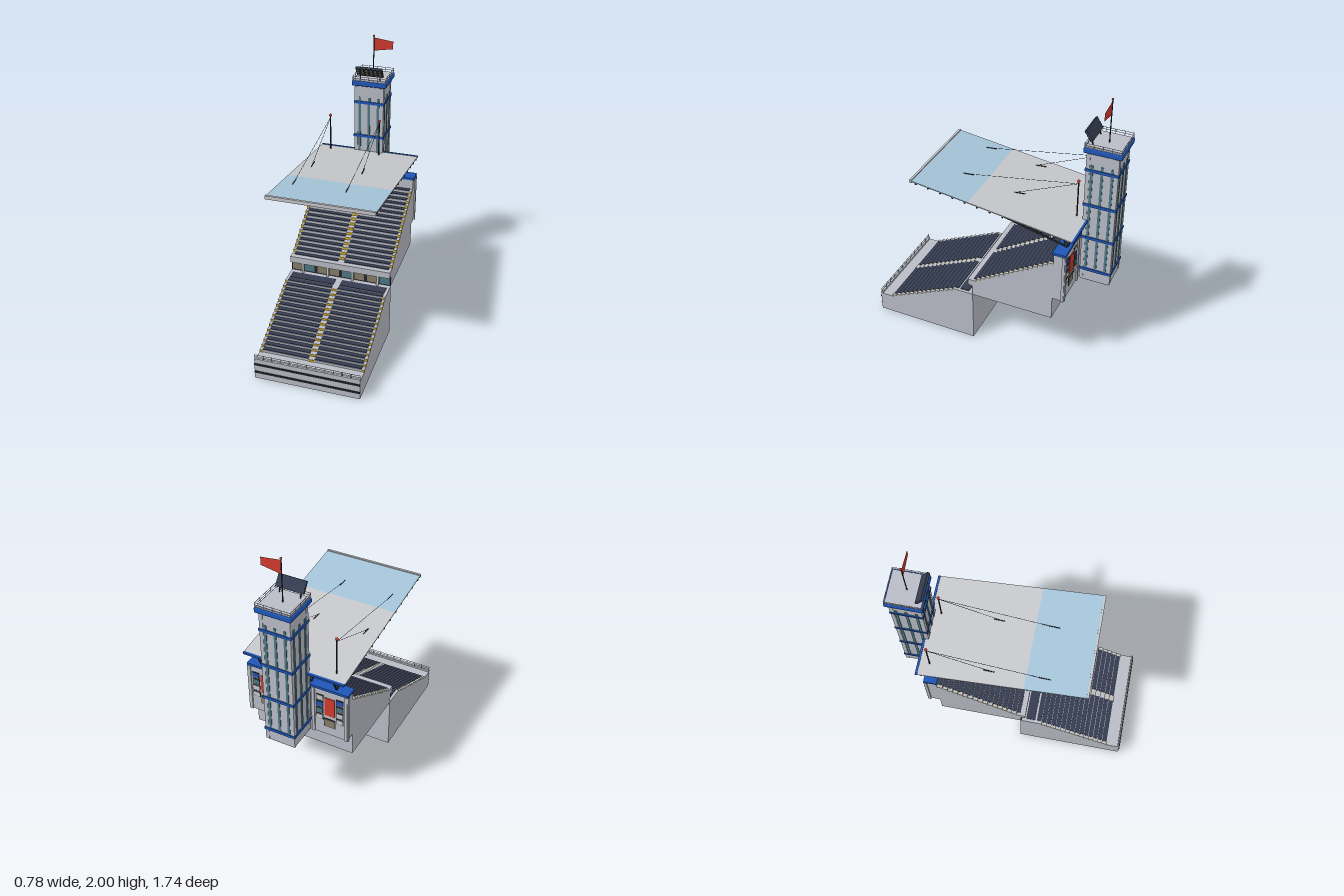
import * as THREE from 'three';
import { RoundedBoxGeometry } from 'three/addons/geometries/RoundedBoxGeometry.js';

const mat = (name, color, extra = {}) => new THREE.MeshStandardMaterial({ name, color, ...extra });

export function createModel() {
  const concrete = mat('concrete', 0xb9bcc6), metal = mat('light metal', 0xc6c7ca);
  const navy = mat('seat navy', 0x353c50), black = mat('dark steel', 0x22252c);
  const blue = mat('blue trim', 0x1f56b8), red = mat('red', 0xd03a2e, { side: THREE.DoubleSide });
  const yellow = mat('aisle yellow', 0xd6ae22), teal = mat('teal glass', 0x4c7884);
  const beige = mat('beige', 0x857c68), glass = mat('roof glass', 0xa4c4d8);
  const root = new THREE.Group();
  const W = 0.38, trussX = [-0.286, -0.095, 0.095, 0.286];

  const group = (name, parent = root) => {
    const g = new THREE.Group();
    g.name = name;
    parent.add(g);
    return g;
  };
  const add = (parent, name, geo, m, x = 0, y = 0, z = 0) => {
    const mesh = new THREE.Mesh(geo, m);
    mesh.name = name;
    mesh.position.set(x, y, z);
    parent.add(mesh);
    return mesh;
  };
  const box = (p, name, m, w, h, d, x, y, z) => add(p, name, new THREE.BoxGeometry(w, h, d), m, x, y, z);
  // Round bar between two points
  const bar = (p, name, m, a, b, r, sides = 6) => {
    const A = new THREE.Vector3(...a), B = new THREE.Vector3(...b);
    const mesh = add(p, name, new THREE.CylinderGeometry(r, r, A.distanceTo(B), sides), m);
    mesh.position.copy(A).add(B).multiplyScalar(0.5);
    mesh.quaternion.setFromUnitVectors(new THREE.Vector3(0, 1, 0), B.sub(A).normalize());
  };
  // Side profile of (z, y) points swept across the full width
  const sweep = (p, name, pts, m) => {
    const geo = new THREE.ExtrudeGeometry(new THREE.Shape(pts.map(q => new THREE.Vector2(...q))),
      { depth: 2 * W, bevelEnabled: false });
    add(p, name, geo.rotateY(-Math.PI / 2).translate(W, 0, 0), m);
  };

  // Stepped stand with seat treads and yellow aisle edges
  const stand = (name, z0, y0, z1, y1, n, rest) => {
    const g = group(name), dz = (z1 - z0) / n, dy = (y1 - y0) / n, pts = [];
    for (let i = 0; i < n; i++) {
      const z = z0 + i * dz, y = y0 + i * dy;
      pts.push([z, y], [z, y + dy]);
      for (const s of [-1, 1])
        box(g, 'seatRow', navy, 0.335, 0.005, -dz * 0.84, s * 0.191, y + dy + 0.0025, z + dz * 0.52).scale.z = -1;
      for (const [x, w] of [[-0.37, 0.02], [0, 0.04], [0.37, 0.02]])
        box(g, 'aisleEdge', yellow, w, dy * 0.9, 0.005, x, y + dy / 2, z + 0.002);
    }
    sweep(g, name + 'Body', [...pts, [z1, y1], ...rest], concrete);
    return g;
  };

  // Lower stand, front wall and railing
  const lower = stand('lowerStand', 0.76, 0.15, 0.2, 0.41, 15,
    [[0.08, 0.41], [0.08, 0], [0.865, 0], [0.865, 0.165], [0.85, 0.165], [0.85, 0.15]]);
  for (const y of [0.055, 0.12]) box(lower, 'wallStripe', black, 2 * W, 0.015, 0.006, 0, y, 0.867);
  for (const s of [-1, 1]) box(lower, 'concourseFloor', navy, 0.335, 0.005, 0.07, s * 0.191, 0.4125, 0.155);
  for (const y of [0.18, 0.195]) bar(lower, 'frontRail', metal, [-W, y, 0.858], [W, y, 0.858], 0.002);
  for (let i = 0; i <= 12; i++) {
    const x = -0.378 + i * 0.063;
    bar(lower, 'railPost', [1, 2, 10, 11].includes(i) ? black : metal, [x, 0.16, 0.858], [x, 0.197, 0.858], 0.0025);
  }

  // Upper stand with parapet and back wall
  const upper = stand('upperStand', 0.08, 0.52, -0.53, 0.89, 17,
    [[-0.53, 0.97], [-0.61, 0.97], [-0.61, 0.59], [-0.53, 0.59], [-0.53, 0.41], [0.08, 0.41]]);
  box(upper, 'parapet', concrete, 2 * W, 0.05, 0.035, 0, 0.517, 0.0975);
  box(upper, 'wallCap', blue, 0.775, 0.018, 0.095, 0, 0.979, -0.57);
  for (const s of [-1, 1]) box(upper, 'sidePilaster', concrete, 0.012, 0.38, 0.02, s * 0.384, 0.78, -0.605);

  // Concourse windows and pillars
  const shops = group('concourseFront');
  box(shops, 'windowBand', black, 2 * W, 0.08, 0.006, 0, 0.452, 0.082);
  [...'BTBBTBBT'].forEach((c, i) =>
    box(shops, 'window', c === 'B' ? beige : teal, 0.073, 0.058, 0.005, -0.334 + i * 0.0955, 0.45, 0.086));
  for (const x of trussX) box(shops, 'pillar', metal, 0.016, 0.083, 0.016, x, 0.451, 0.1);

  // Rear facade panels either side of the tower
  const rear = group('rearFacade');
  for (const s of [-1, 1]) {
    for (const x of [0.125, 0.372]) box(rear, 'pilaster', concrete, 0.022, 0.38, 0.014, s * x, 0.78, -0.613);
    box(rear, 'redPanel', red, 0.075, 0.15, 0.006, s * 0.248, 0.835, -0.612);
    box(rear, 'doorFrame', black, 0.085, 0.07, 0.004, s * 0.248, 0.695, -0.611);
    box(rear, 'door', beige, 0.073, 0.058, 0.006, s * 0.248, 0.695, -0.613);
    [0.173, 0.323].forEach((x, c) => {
      for (let r = 0; r < 4; r++) {
        box(rear, 'panelFrame', black, 0.056, 0.046, 0.004, s * x, 0.9 - r * 0.055, -0.611);
        box(rear, 'smallPanel', [metal, blue, teal, metal][(r + c) % 4], 0.046, 0.036, 0.006, s * x, 0.9 - r * 0.055, -0.613);
      }
    });
  }

  // Sloping roof
  const roof = group('roof'), slope = 0.134, roofY = z => 1.105 + (z + 0.66) * slope;
  const slab = (name, m, z0, z1, t = 0.007) => {
    const zc = (z0 + z1) / 2;
    box(roof, name, m, 2 * W, t, (z1 - z0) * Math.hypot(1, slope), 0, roofY(zc), zc).rotation.x = -Math.atan(slope);
  };
  slab('roofPanel', metal, -0.655, 0.1);
  slab('roofGlass', glass, 0.1, 0.53);
  slab('roofBackEdge', blue, -0.665, -0.65, 0.016);
  box(roof, 'gutter', metal, 2 * W, 0.026, 0.016, 0, 1.262, 0.535);
  for (let i = 0; i < 13; i++) {
    const z = -0.62 + i * 0.093;
    box(roof, 'purlin', black, 2 * W, 0.012, 0.01, 0, roofY(z) - 0.01, z);
  }

  // Cantilever trusses with zigzag webs
  const lowY = z => 0.99 + (z + 0.59) * 0.236;
  for (const x of trussX) {
    const t = group('truss', roof), topY = z => roofY(z) - 0.012;
    bar(t, 'topChord', black, [x, topY(-0.65), -0.65], [x, topY(0.5), 0.5], 0.007);
    bar(t, 'bottomChord', black, [x, lowY(-0.59), -0.59], [x, lowY(0.49), 0.49], 0.007);
    bar(t, 'support', navy, [x, 0.985, -0.58], [x, topY(-0.58), -0.58], 0.01);
    bar(t, 'rearStrut', black, [x, 0.99, -0.59], [x, topY(-0.64), -0.64], 0.005);
    for (let i = 0; i < 20; i++) {
      const za = -0.58 + i * 0.052, zb = za + 0.052, up = i % 2;
      bar(t, 'web', black, [x, up ? topY(za) : lowY(za), za], [x, up ? lowY(zb) : topY(zb), zb], 0.003, 5);
    }
  }

  // Masts with stay cables
  for (const x of [trussX[0], trussX[2]]) {
    const m = group('mast');
    bar(m, 'mastPole', black, [x, 0.985, -0.58], [x, 1.395, -0.58], 0.005, 8);
    add(m, 'mastLight', new THREE.SphereGeometry(0.011, 12, 8), red, x, 1.395, -0.58);
    for (const z of [-0.12, 0.27]) {
      bar(m, 'cable', black, [x, 1.375, -0.58], [x, roofY(z), z], 0.0015, 4);
      bar(m, 'cableAnchor', black, [x, roofY(z) + 0.004, z], [x, roofY(z - 0.08) + 0.012 + 0.01, z - 0.08], 0.003, 5);
    }
  }

  // Tilted lamp board: dark panel with rows of lamps
  const lampBoard = (p, name, w, h, cols, rows, x, y, z, tilt) => {
    const g = group(name, p);
    g.position.set(x, y, z);
    g.rotation.x = tilt;
    box(g, 'lampPanel', navy, w, h, 0.016, 0, 0, 0);
    box(g, 'lampFace', black, w * 0.98, h * 0.96, 0.004, 0, 0, 0.009);
    for (let i = 0; i < cols; i++) for (let j = 0; j < rows; j++) {
      const lamp = new THREE.CylinderGeometry(0.32 * h / rows, 0.32 * h / rows, 0.006, 10).rotateX(Math.PI / 2);
      add(g, 'lamp', lamp, beige, ((i + 0.5) / cols - 0.5) * w, ((j + 0.5) / rows - 0.5) * h, 0.013);
    }
  };
  for (const x of [-0.255, 0, 0.255]) {
    lampBoard(roof, 'roofFloodlight', 0.11, 0.046, 5, 2, x, 1.207, 0.43, 0.75);
    bar(roof, 'floodlightArm', black, [x, 1.21, 0.43], [x, roofY(0.44), 0.44], 0.004);
  }

  // Tower shaft, corner posts, glass strips and bands
  const tower = group('tower'), tz = -0.738;
  add(tower, 'shaft', new RoundedBoxGeometry(0.216, 1.045, 0.216, 2, 0.012), concrete, 0, 1.1205, tz);
  for (const sx of [-1, 1]) for (const sz of [-1, 1])
    box(tower, 'cornerPost', concrete, 0.026, 1.02, 0.026, sx * 0.098, 1.12, tz + sz * 0.098);
  for (let f = 0; f < 4; f++) {
    const side = group('towerSide', tower);
    side.position.z = tz;
    side.rotation.y = f * Math.PI / 2;
    for (const x of [-0.07, 0, 0.07]) box(side, 'glassStrip', teal, 0.018, 0.83, 0.008, x, 1.135, 0.108);
  }
  for (const y of [0.7, 0.97, 1.237, 1.508]) box(tower, 'band', blue, 0.232, 0.02, 0.232, 0, y, tz);
  add(tower, 'crown', new RoundedBoxGeometry(0.262, 0.038, 0.262, 2, 0.008), blue, 0, 1.66, -0.74);
  box(tower, 'deck', concrete, 0.242, 0.008, 0.242, 0, 1.678, -0.74);

  // Deck railing
  const rail = group('deckRailing', tower), R = 0.124;
  rail.position.set(0, 1.68, -0.74);
  for (let f = 0; f < 4; f++) {
    const side = group('railSide', rail);
    side.rotation.y = f * Math.PI / 2;
    for (const y of [0.016, 0.032]) bar(side, 'rail', metal, [-R, y, R], [R, y, R], 0.0018);
    for (let i = 0; i < 4; i++) {
      const x = -R + i * R / 2;
      bar(side, 'railPost', metal, [x, -0.002, R], [x, 0.034, R], 0.002);
    }
  }

  // Tower floodlight, flagpole and flag
  lampBoard(tower, 'towerFloodlight', 0.2, 0.085, 6, 3, 0, 1.752, -0.632, 0.58);
  for (const x of [-0.075, 0.075]) bar(tower, 'floodlightPost', black, [x, 1.68, -0.655], [x, 1.745, -0.64], 0.004);
  bar(tower, 'flagpole', black, [0, 1.68, -0.74], [0, 1.99, -0.74], 0.004, 8);
  add(tower, 'poleFinial', new THREE.SphereGeometry(0.008, 12, 8), red, 0, 1.992, -0.74);
  const flag = new THREE.Shape([[0, 1.98], [0, 1.88], [0.145, 1.905], [0.145, 1.962]].map(q => new THREE.Vector2(...q)));
  add(tower, 'flag', new THREE.ShapeGeometry(flag), red, 0, 0, -0.74);
  return root;
}
